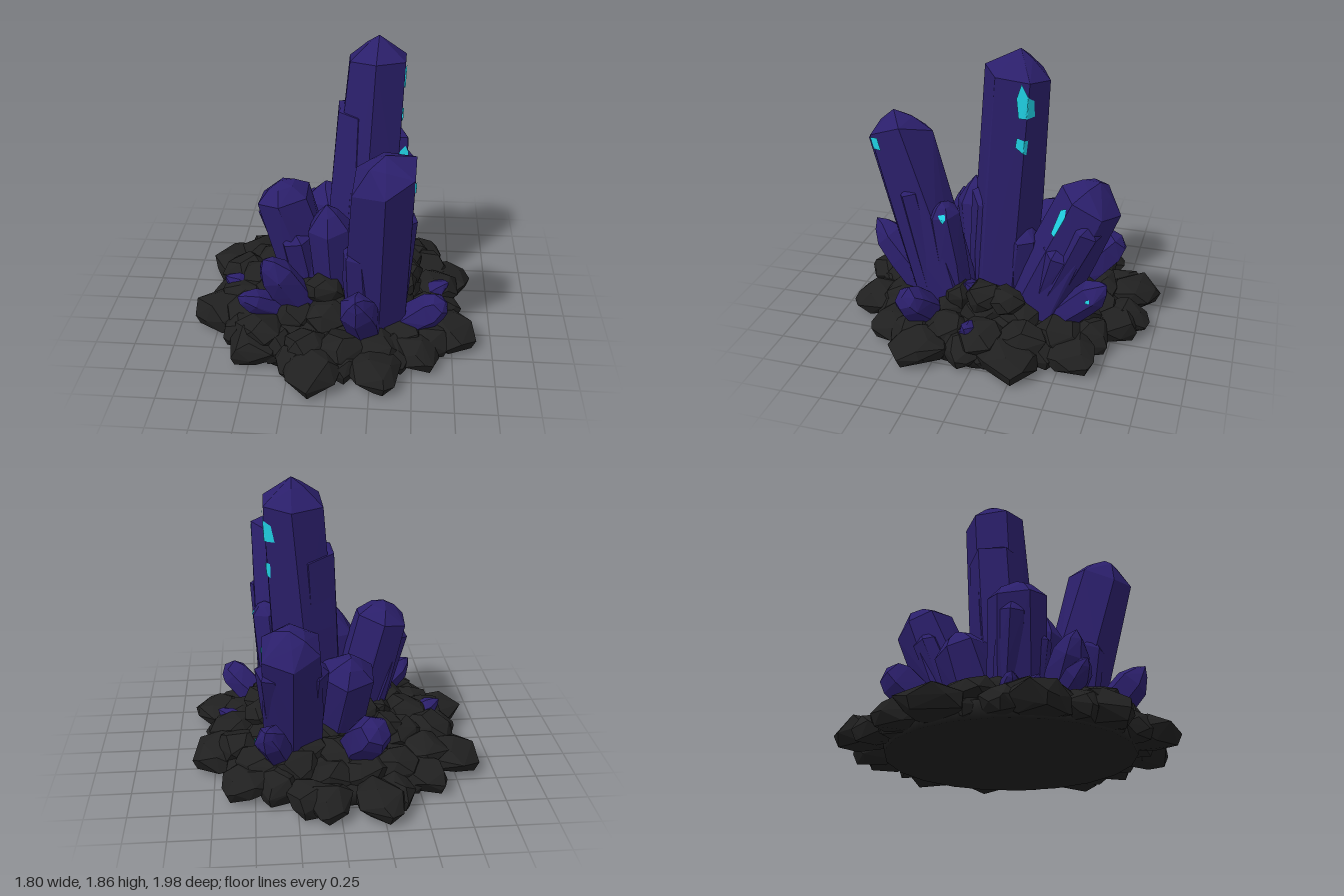
import * as THREE from 'three';
import { ConvexGeometry } from 'three/addons/geometries/ConvexGeometry.js';

const V = (x, y, z) => new THREE.Vector3(x, y, z);

export function createModel() {
  const group = new THREE.Group();
  const material = (name, color) => {
    const m = new THREE.MeshStandardMaterial({ color });
    m.name = name;
    return m;
  };
  const purple = material('crystal purple', 0x2b1f6b);
  const dark = material('rock charcoal', 0x202020);
  const cyan = material('glint cyan', 0x22dcf0);
  cyan.side = THREE.DoubleSide;

  // small seeded generator, returns -1..1
  let seed = 7;
  const rnd = () => {
    seed = (seed * 16807) % 2147483647;
    return (seed / 2147483647) * 2 - 1;
  };

  const add = (name, geometry, mat) => {
    const mesh = new THREE.Mesh(geometry, mat);
    mesh.name = name;
    group.add(mesh);
    return mesh;
  };

  // faceted crystal: hexagonal shaft, uneven shoulder, pointed or blunt end
  const crystals = [];
  function crystal(name, base, tip, r, { cap = 0.8, turn = 0, blunt = 0.5, slant = 0 } = {}) {
    const a = V(...base), b = V(...tip);
    const axis = b.clone().sub(a), len = axis.length();
    axis.normalize();
    const u = V(1, 0, 0).addScaledVector(axis, -axis.x).normalize();
    const w = u.clone().cross(axis);
    const points = [b];
    const ring = (dist, radius, wobble, lean = 0) => {
      for (let i = 0; i < 6; i++) {
        const t = turn + (i + 0.5) * Math.PI / 3 + rnd() * 0.1;
        const rr = radius * (1 + rnd() * 0.06);
        points.push(a.clone().addScaledVector(axis, dist + rnd() * wobble + Math.cos(t) * rr * lean)
          .addScaledVector(u, Math.cos(t) * rr).addScaledVector(w, Math.sin(t) * rr));
      }
    };
    ring(0, r * 1.05, 0);
    ring(len * 0.45, r * 1.05, r * 0.1);
    ring(len - r * cap, r, r * 0.12, slant);
    ring(len - r * cap * 0.35, r * blunt, r * 0.08, slant / 2);
    crystals.push(add(name, new ConvexGeometry(points), purple));
  }

  // large crystals
  crystal('mainCrystal', [0.14, 0.15, -0.02], [0.24, 1.86, -0.16], 0.2, { blunt: 0.36, cap: 0.75 });
  crystal('frontCrystal', [0.28, 0.15, 0.28], [0.31, 1.44, 0.6], 0.2, { cap: 0.72, slant: 0.32 });
  crystal('backCrystal', [0.25, 0.15, -0.26], [0.28, 1.11, -0.65], 0.19, { cap: 0.7 });
  crystal('leftCrystal', [-0.14, 0.15, 0.05], [-0.35, 0.98, 0.07], 0.175, { cap: 0.6 });
  crystal('backLeftCrystal', [0, 0.15, -0.13], [-0.1, 0.78, -0.33], 0.175, { cap: 0.7 });
  crystal('middleCrystal', [0.02, 0.15, 0.13], [-0.05, 0.9, 0.21], 0.135, { cap: 1.2 });

  // shards grown against the large crystals
  [
    [[0.1, 0.2, -0.02], [0.14, 1.43, -0.12], 0.17, { cap: 0.2, blunt: 0.8 }],
    [[0.16, 0.2, 0.05], [0.22, 1.0, 0.0], 0.14],
    [[0.34, 0.2, 0.21], [0.41, 0.92, 0.28], 0.1],
    [[0.36, 0.2, 0.32], [0.42, 1.03, 0.48], 0.085],
    [[0.18, 0.2, 0.38], [0.16, 0.8, 0.49], 0.1],
    [[0.3, 0.2, -0.3], [0.39, 0.74, -0.46], 0.1],
    [[0.18, 0.2, -0.3], [0.13, 0.88, -0.58], 0.09],
    [[0.32, 0.2, -0.32], [0.4, 0.9, -0.63], 0.09],
    [[-0.18, 0.2, 0.1], [-0.26, 0.7, 0.18], 0.1],
    [[-0.22, 0.2, 0], [-0.43, 0.82, 0.06], 0.09],
    [[0.2, 0.2, -0.12], [0.27, 0.76, -0.19], 0.11],
  ].forEach(([base, tip, r, shape = { cap: 0.7 }], i) =>
    crystal(`shard${i + 1}`, base, tip, r, { turn: i, ...shape }));

  // small crystals leaning out around the foot
  [
    [[0.2, 0.2, 0.48], [0.16, 0.61, 0.82], 0.11],
    [[-0.2, 0.2, 0.28], [-0.42, 0.62, 0.42], 0.11],
    [[-0.32, 0.2, 0.32], [-0.58, 0.38, 0.48], 0.08],
    [[0.49, 0.19, 0.37], [0.69, 0.39, 0.45], 0.1, { cap: 0.9, blunt: 0.7 }],
    [[-0.12, 0.2, -0.42], [-0.22, 0.51, -0.72], 0.12, { cap: 0.9, blunt: 0.75 }],
    [[0.34, 0.2, -0.45], [0.43, 0.52, -0.74], 0.09],
    [[-0.55, 0.15, 0.05], [-0.73, 0.26, 0.08], 0.06],
    [[0.58, 0.15, 0.03], [0.73, 0.26, 0.05], 0.06],
    [[0.32, 0.2, 0.1], [0.45, 0.4, 0.13], 0.09],
    [[-0.25, 0.2, 0.12], [-0.42, 0.36, 0.2], 0.09],
  ].forEach(([base, tip, r, shape = { cap: 1.3 }], i) =>
    crystal(`smallCrystal${i + 1}`, base, tip, r, { turn: i * 0.7, ...shape }));

  // cyan glints, outlines in [z, y], draped onto the crystals from the +x side
  group.updateMatrixWorld(true);
  const ray = new THREE.Raycaster();
  const land = ([z, y]) => {
    ray.set(V(2, y, z), V(-1, 0, 0));
    const hit = ray.intersectObjects(crystals)[0];
    return hit && hit.point.add(V(0.008, 0, 0));
  };
  const half = (p, q) => [(p[0] + q[0]) / 2, (p[1] + q[1]) / 2];
  const drape = (a, b, c, depth, out) => {
    if (depth > 0) {
      const ab = half(a, b), bc = half(b, c), ca = half(c, a);
      [[a, ab, ca], [ab, b, bc], [ca, bc, c], [ab, bc, ca]].forEach(t => drape(...t, depth - 1, out));
      return;
    }
    const corners = [a, b, c].map(land);
    if (corners.every(Boolean)) out.push(corners[0], corners[2], corners[1]);
  };
  [
    [[-0.19, 1.5], [-0.27, 1.5], [-0.27, 1.6], [-0.25, 1.63], [-0.21, 1.71], [-0.18, 1.62]],
    [[-0.17, 1.32], [-0.23, 1.27], [-0.24, 1.36], [-0.18, 1.38]],
    [[0.69, 1.32], [0.64, 1.32], [0.62, 1.24], [0.67, 1.25]],
    [[0.28, 0.86], [0.25, 0.81], [0.23, 0.84], [0.24, 0.87]],
    [[-0.39, 0.8], [-0.42, 0.8], [-0.48, 0.93], [-0.48, 0.98], [-0.44, 0.95]],
    [[-0.62, 0.41], [-0.65, 0.41], [-0.65, 0.44], [-0.63, 0.43]],
  ].forEach((outline, i) => {
    const n = outline.length;
    const mid = [0, 1].map(k => outline.reduce((s, p) => s + p[k], 0) / n);
    const fan = [];
    outline.forEach((p, k) => drape(mid, p, outline[(k + 1) % n], 3, fan));
    const geometry = new THREE.BufferGeometry().setFromPoints(fan);
    geometry.computeVertexNormals();
    add(`glint${i + 1}`, geometry, cyan);
  });

  // chipped rock with a flattened underside
  let rocks = 0;
  function rock(x, y, z, r, h, reach = []) {
    const points = [...reach];
    const spin = rnd() * 3;
    for (let i = 0; i < 18; i++) {
      const c = 1 - (2 * i + 1) / 18, s = Math.sqrt(1 - c * c);
      const t = spin + i * 2.4 + rnd() * 0.3;
      const k = 1 + rnd() * 0.13;
      points.push(V(x + Math.cos(t) * s * r * k,
        Math.max(0.015, y + c * h * k), z + Math.sin(t) * s * r * k));
    }
    add(`rock${++rocks}`, new ConvexGeometry(points), dark);
  }

  // rim rocks, each reaching to one point of the outline [x, z, size]
  [
    [-0.28, -0.99, 0.17], [-0.39, -0.86, 0.13], [0.08, -0.97, 0.16], [0.22, -0.91, 0.14],
    [0.42, -0.76, 0.14], [0.67, -0.69, 0.18], [0.68, -0.45, 0.14], [0.89, -0.28, 0.19],
    [0.78, -0.08, 0.14], [0.82, 0.08, 0.15], [0.74, 0.25, 0.13], [0.9, 0.42, 0.19],
    [0.72, 0.52, 0.14], [0.63, 0.69, 0.17], [0.45, 0.72, 0.14], [0.34, 0.93, 0.18],
    [0.1, 0.84, 0.13], [-0.11, 0.99, 0.19], [-0.24, 0.83, 0.12], [-0.39, 0.68, 0.13],
    [-0.6, 0.7, 0.18], [-0.68, 0.5, 0.14], [-0.9, 0.28, 0.2], [-0.83, 0.03, 0.15],
    [-0.76, -0.18, 0.14], [-0.9, -0.44, 0.2], [-0.64, -0.69, 0.18], [-0.5, -0.68, 0.15],
  ].forEach(([x, z, r]) => {
    const f = 1 - r * 1.08 / Math.hypot(x, z);
    rock(x * f, 0.095, z * f, r, 0.115 + rnd() * 0.02, [V(x, 0.08, z), V(x * 0.97, 0.015, z * 0.97)]);
  });

  // rings of rocks climbing toward the middle [count, radius, y, size]
  [[17, 0.63, 0.15, 0.16], [12, 0.45, 0.21, 0.15], [8, 0.27, 0.26, 0.14]].forEach(
    ([count, radius, y, size]) => {
      for (let i = 0; i < count; i++) {
        const t = (i + rnd() * 0.2) / count * Math.PI * 2;
        const d = radius + rnd() * 0.04;
        rock(Math.cos(t) * d, y + rnd() * 0.02, Math.sin(t) * d, size, 0.11);
      }
    });

  // higher rocks packed between the crystals
  [[0.44, 0.32, 0.02, 0.13], [0.42, 0.3, 0.17, 0.11], [0.44, 0.32, -0.13, 0.12],
    [-0.06, 0.34, 0.3, 0.12], [-0.2, 0.31, -0.14, 0.12], [-0.33, 0.26, -0.25, 0.13]]
    .forEach(([x, y, z, r]) => rock(x, y, z, r, 0.1));

  // solid mound under the rocks, closed flat at the ground
  const profile = [[0, 0], [0.74, 0], [0.76, 0.1], [0.6, 0.19], [0.3, 0.27], [0, 0.33]];
  add('mound', new THREE.LatheGeometry(profile.map(p => new THREE.Vector2(...p)), 20), dark);

  return group;
}
